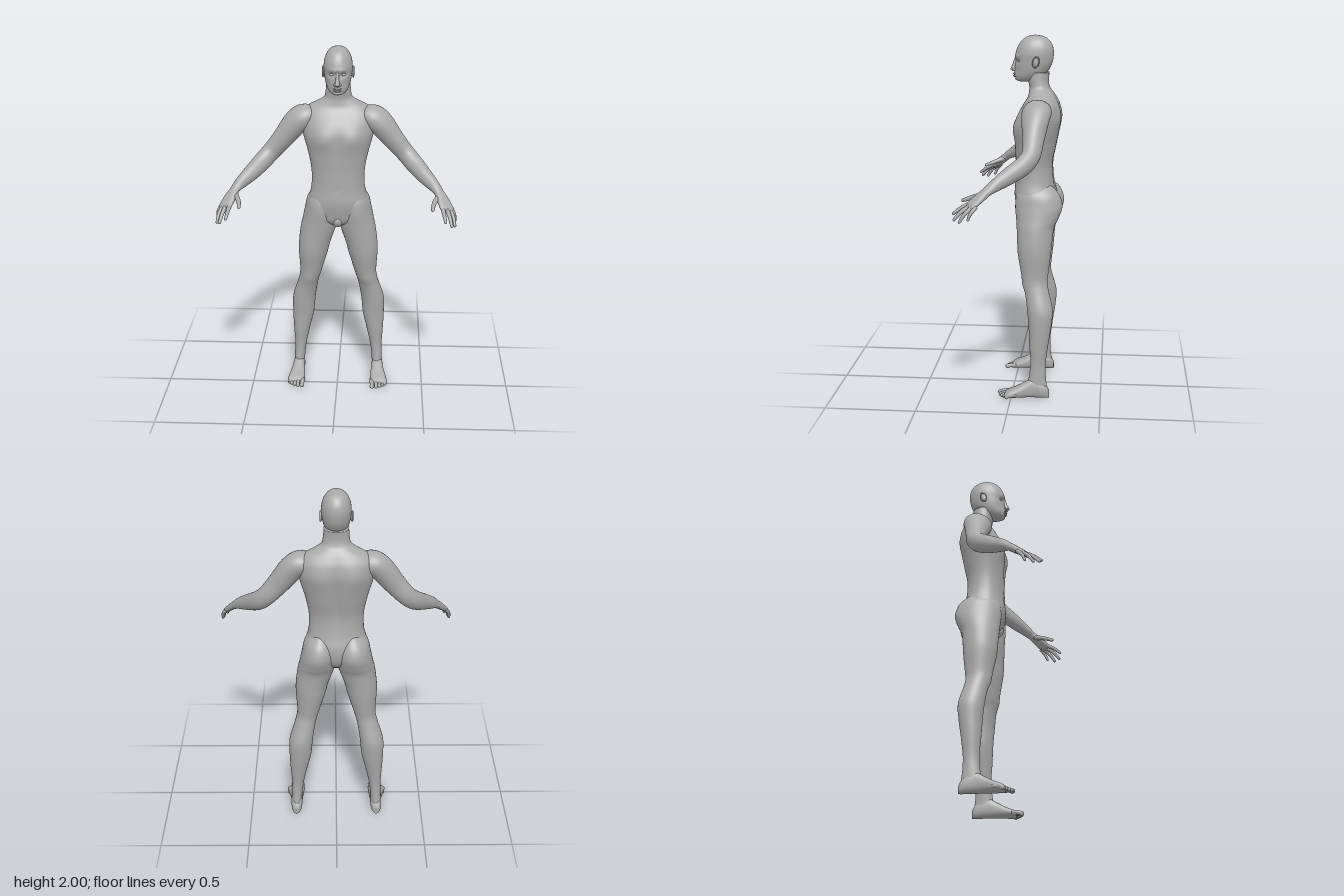
import * as THREE from 'three';

const skin = new THREE.MeshStandardMaterial({ color: 0xaaaaaa });
skin.name = 'grey skin';

const gauss = (d, s) => Math.exp(-(d * d) / (s * s));
const X = new THREE.Vector3(1, 0, 0), DOWN = new THREE.Vector3(0, -1, 0), FRONT = new THREE.Vector3(0, 0, 1);

// Catmull-Rom subdivision of section rows
function refine(rows, n) {
  const out = [];
  for (let i = 0; i < rows.length - 1; i++) {
    const [a, b, c, d] = [-1, 0, 1, 2].map(k => rows[Math.min(Math.max(i + k, 0), rows.length - 1)]);
    for (let s = 0; s < n; s++) {
      const t = s / n;
      out.push(b.map((v, k) => v + 0.5 * t * (c[k] - a[k] + t * (2 * a[k] - 5 * v + 4 * c[k] - d[k]
        + t * (3 * (v - c[k]) + d[k] - a[k])))));
    }
  }
  out.push(rows[rows.length - 1]);
  return out;
}

// Smooth skin through rows [x, y, z, halfWidth, halfDepth]
function loft(rows, { across = X, dir = null, sides = 24, steps = 4, power = 2, round = false, sculpt = null } = {}) {
  const fine = refine(rows, steps);
  const at = r => new THREE.Vector3(r[0], r[1], r[2]);
  const rings = fine.map((r, i) => {
    const T = dir ? dir.clone() : at(fine[Math.min(i + 1, fine.length - 1)]).sub(at(fine[Math.max(i - 1, 0)])).normalize();
    const U = across.clone().addScaledVector(T, -across.dot(T)).normalize();
    return { c: at(r), T, U, V: T.clone().cross(U), a: Math.max(r[3], 0.001), b: Math.max(r[4], 0.001) };
  });
  if (round) {
    const e = rings[rings.length - 1], h = Math.min(e.a, e.b);
    for (const q of [0.35, 0.7, 1.05, 1.35])
      rings.push({ ...e, c: e.c.clone().addScaledVector(e.T, h * Math.sin(q)), a: e.a * Math.cos(q), b: e.b * Math.cos(q) });
  }
  const pos = [], idx = [], n = rings.length;
  const bend = v => Math.sign(v) * Math.abs(v) ** (2 / power);
  for (const g of rings) {
    for (let j = 0; j < sides; j++) {
      const t = (j / sides) * Math.PI * 2;
      const p = g.c.clone().addScaledVector(g.U, g.a * bend(Math.cos(t))).addScaledVector(g.V, g.b * bend(Math.sin(t)));
      if (sculpt) sculpt(p);
      pos.push(p.x, p.y, p.z);
    }
  }
  pos.push(...rings[0].c.toArray(), ...rings[n - 1].c.toArray());
  for (let j = 0; j < sides; j++) {
    const k = (j + 1) % sides;
    for (let i = 0; i < n - 1; i++) {
      const a = i * sides + j, b = i * sides + k;
      idx.push(a, b, b + sides, a, b + sides, a + sides);
    }
    idx.push(n * sides, k, j, n * sides + 1, (n - 1) * sides + j, (n - 1) * sides + k);
  }
  const geo = new THREE.BufferGeometry();
  geo.setAttribute('position', new THREE.Float32BufferAttribute(pos, 3));
  geo.setIndex(idx);
  geo.computeVertexNormals();
  return geo;
}

function ball(x, y, z, rx, ry, rz, tilt = 0) {
  return new THREE.SphereGeometry(1, 20, 14).scale(rx, ry, rz).rotateX(tilt).translate(x, y, z);
}

// Reflected copy across x = 0
function mirrored(geo) {
  const g = geo.clone().scale(-1, 1, 1), ix = g.index.array;
  for (let i = 0; i < ix.length; i += 3) [ix[i], ix[i + 1]] = [ix[i + 1], ix[i]];
  g.computeVertexNormals();
  return g;
}

// Rows given as [y, xMin, xMax, zFront, zBack]
const slab = ([y, x0, x1, f, b]) => [(x0 + x1) / 2, y, (f + b) / 2, (x1 - x0) / 2, (f - b) / 2];
const centred = ([y, w, f, b]) => slab([y, -w, w, f, b]);

export function createModel() {
  const model = new THREE.Group();
  model.name = 'human figure';
  const add = (name, geo) => {
    const m = new THREE.Mesh(geo, skin);
    m.name = name;
    model.add(m);
  };
  const pair = (name, geo) => { add(name + 'Left', geo); add(name + 'Right', mirrored(geo)); };

  // Torso and neck, with chest, shoulder blades and spine groove
  add('torso', loft([
    [1.80, 0.066, -0.075, -0.19], [1.75, 0.07, -0.075, -0.187], [1.715, 0.078, -0.08, -0.195],
    [1.69, 0.112, -0.078, -0.212], [1.66, 0.168, -0.07, -0.23], [1.62, 0.202, -0.045, -0.248],
    [1.56, 0.203, -0.014, -0.258], [1.5, 0.195, 0, -0.252], [1.4, 0.168, -0.002, -0.235],
    [1.3, 0.15, -0.006, -0.216], [1.2, 0.152, -0.004, -0.222], [1.12, 0.172, 0, -0.238],
    [1.05, 0.17, -0.012, -0.23], [1.0, 0.1, -0.03, -0.2], [0.965, 0.03, -0.09, -0.15],
  ].map(centred), {
    dir: DOWN, sides: 64, steps: 6, power: 2.25,
    sculpt: p => {
      const ax = Math.abs(p.x);
      if (p.z > -0.1) {
        p.z += 0.012 * gauss(ax - 0.085, 0.055) * gauss(p.y - 1.49, 0.055);
        p.z -= 0.006 * gauss(ax, 0.018) * gauss(p.y - 1.45, 0.14);
        p.z -= 0.004 * gauss(ax, 0.012) * gauss(p.y - 1.205, 0.012);
      } else if (p.z < -0.15) {
        p.z += 0.02 * gauss(ax, 0.028) * gauss(p.y - 1.4, 0.2);
        p.z -= 0.008 * gauss(ax - 0.1, 0.05) * gauss(p.y - 1.55, 0.07);
      }
    },
  }));
  add('groin', ball(0, 1.015, -0.055, 0.034, 0.04, 0.045));

  // Legs, each including its half of the seat
  pair('leg', loft([
    [1.2, 0.05, 0.12, -0.06, -0.19], [1.14, 0.014, 0.172, -0.02, -0.25], [1.07, 0.003, 0.19, -0.01, -0.272],
    [1.0, 0.004, 0.205, -0.016, -0.25], [0.95, 0.014, 0.216, -0.02, -0.228], [0.86, 0.045, 0.227, -0.025, -0.217],
    [0.8, 0.06, 0.228, -0.03, -0.212], [0.7, 0.09, 0.222, -0.048, -0.2], [0.65, 0.105, 0.225, -0.058, -0.196],
    [0.6, 0.119, 0.238, -0.072, -0.205], [0.5, 0.135, 0.268, -0.086, -0.228], [0.4, 0.145, 0.27, -0.095, -0.22],
    [0.3, 0.168, 0.266, -0.1, -0.205], [0.2, 0.19, 0.26, -0.107, -0.193], [0.12, 0.2, 0.262, -0.1, -0.194],
    [0.06, 0.204, 0.263, -0.09, -0.2], [0.03, 0.21, 0.258, -0.1, -0.195],
  ].map(slab), {
    dir: DOWN, sides: 40, steps: 5,
    sculpt: p => { if (p.z > -0.12) p.z += 0.006 * gauss(p.x - 0.17, 0.03) * gauss(p.y - 0.63, 0.035); },
  }));

  // Feet: [z, xInner, xOuter, top], flat on the ground
  pair('foot', loft([
    [-0.213, 0.225, 0.245, 0.04], [-0.2, 0.21, 0.26, 0.065], [-0.17, 0.203, 0.266, 0.09], [-0.12, 0.2, 0.268, 0.108],
    [-0.08, 0.198, 0.274, 0.088], [-0.03, 0.194, 0.286, 0.06], [0.01, 0.193, 0.294, 0.042], [0.035, 0.197, 0.286, 0.026],
  ].map(([z, x0, x1, top]) => [(x0 + x1) / 2, top / 2, z, (x1 - x0) / 2, top / 2]),
  { dir: FRONT, sides: 28, power: 2.5 }));
  [[0.207, 0.07, 0.0135], [0.231, 0.066, 0.0105], [0.25, 0.056, 0.01], [0.268, 0.043, 0.0095], [0.284, 0.028, 0.009]]
    .forEach(([x, tip, r], i) => pair('toe' + (i + 1), loft([
      [x - 0.003, 0.022, tip - 0.06, r, r], [x, 0.019, tip - 0.025, r * 0.9, r * 0.9], [x, r, tip - r * 0.5, r, r],
    ], { sides: 12, round: true })));

  // Arms from shoulder to wrist
  pair('arm', loft([
    [0.12, 1.605, -0.14, 0.055, 0.045], [0.185, 1.602, -0.135, 0.08, 0.066], [0.238, 1.565, -0.13, 0.077, 0.068],
    [0.31, 1.475, -0.125, 0.058, 0.06], [0.375, 1.4, -0.118, 0.049, 0.053], [0.425, 1.35, -0.08, 0.047, 0.052],
    [0.48, 1.305, -0.01, 0.042, 0.045], [0.53, 1.268, 0.05, 0.033, 0.034], [0.558, 1.243, 0.087, 0.03, 0.023],
    [0.575, 1.22, 0.115, 0.027, 0.017],
  ], { across: new THREE.Vector3(-0.55, 0, 0.85), sides: 32, steps: 6 }));

  // Hands
  const width = new THREE.Vector3(-0.85, 0.11, 0.51);
  pair('palm', loft([
    [0.55, 1.25, 0.075, 0.024, 0.018], [0.565, 1.233, 0.1, 0.029, 0.021], [0.582, 1.208, 0.13, 0.037, 0.019],
    [0.602, 1.176, 0.168, 0.041, 0.015], [0.607, 1.168, 0.178, 0.036, 0.01],
  ], { across: width, sides: 24, power: 2.3, round: true }));
  const digits = {
    thumb: [[0.557, 1.222, 0.115], [0.533, 1.203, 0.17], [0.524, 1.184, 0.222], 0.0125],
    indexFinger: [[0.577, 1.184, 0.165], [0.586, 1.158, 0.222], [0.593, 1.128, 0.263], 0.0105],
    middleFinger: [[0.597, 1.178, 0.16], [0.616, 1.145, 0.217], [0.628, 1.104, 0.255], 0.0108],
    ringFinger: [[0.615, 1.174, 0.152], [0.637, 1.138, 0.197], [0.646, 1.096, 0.226], 0.0102],
    littleFinger: [[0.627, 1.172, 0.142], [0.645, 1.14, 0.168], [0.648, 1.107, 0.182], 0.0092],
  };
  for (const [name, [a, b, c, r]] of Object.entries(digits))
    pair(name, loft([[...a, r * 1.2, r * 1.2], [...b, r, r], [...c, r * 0.75, r * 0.75]],
      { across: width, sides: 12, round: true }));

  // Head, with brow and eye sockets
  add('head', loft([
    [2.0, 0.006, -0.106, -0.118], [1.992, 0.034, -0.07, -0.158], [1.972, 0.056, -0.04, -0.188],
    [1.94, 0.072, -0.017, -0.207], [1.9, 0.079, -0.004, -0.213], [1.86, 0.077, -0.004, -0.208],
    [1.83, 0.073, -0.001, -0.197], [1.8, 0.066, 0.003, -0.178], [1.775, 0.055, 0.003, -0.15],
    [1.757, 0.04, -0.003, -0.12], [1.748, 0.02, -0.025, -0.085],
  ].map(centred), {
    dir: DOWN, sides: 64, steps: 6, power: 2.1,
    sculpt: p => {
      if (p.z < -0.06) return;
      const ax = Math.abs(p.x);
      p.z -= 0.013 * gauss(ax - 0.031, 0.017) * gauss(p.y - 1.862, 0.013);
      p.z += 0.005 * gauss(ax - 0.026, 0.026) * gauss(p.y - 1.886, 0.01);
      p.z -= 0.006 * gauss(ax, 0.03) * gauss(p.y - 1.769, 0.005);
      p.z -= 0.005 * gauss(ax - 0.05, 0.02) * gauss(p.y - 1.805, 0.025);
    },
  }));
  add('nose', loft([
    [0, 1.882, -0.01, 0.008, 0.01], [0, 1.85, -0.004, 0.0085, 0.014], [0, 1.825, 0.004, 0.012, 0.017],
    [0, 1.813, 0.006, 0.014, 0.019], [0, 1.804, 0, 0.01, 0.013],
  ], { dir: DOWN, sides: 16 }));
  pair('nostril', ball(0.013, 1.812, 0.003, 0.009, 0.008, 0.011));
  pair('eye', ball(0.031, 1.862, -0.028, 0.014, 0.009, 0.012));
  add('upperLip', ball(0, 1.789, -0.002, 0.024, 0.006, 0.014));
  add('lowerLip', ball(0, 1.777, -0.003, 0.021, 0.007, 0.013));

  // Ears
  pair('ear', ball(0.079, 1.858, -0.118, 0.007, 0.029, 0.017, -0.2));
  pair('earRim', new THREE.TorusGeometry(1, 0.16, 8, 24).rotateY(Math.PI / 2).scale(0.028, 0.028, 0.017)
    .rotateX(-0.2).translate(0.083, 1.858, -0.12));

  return model;
}
